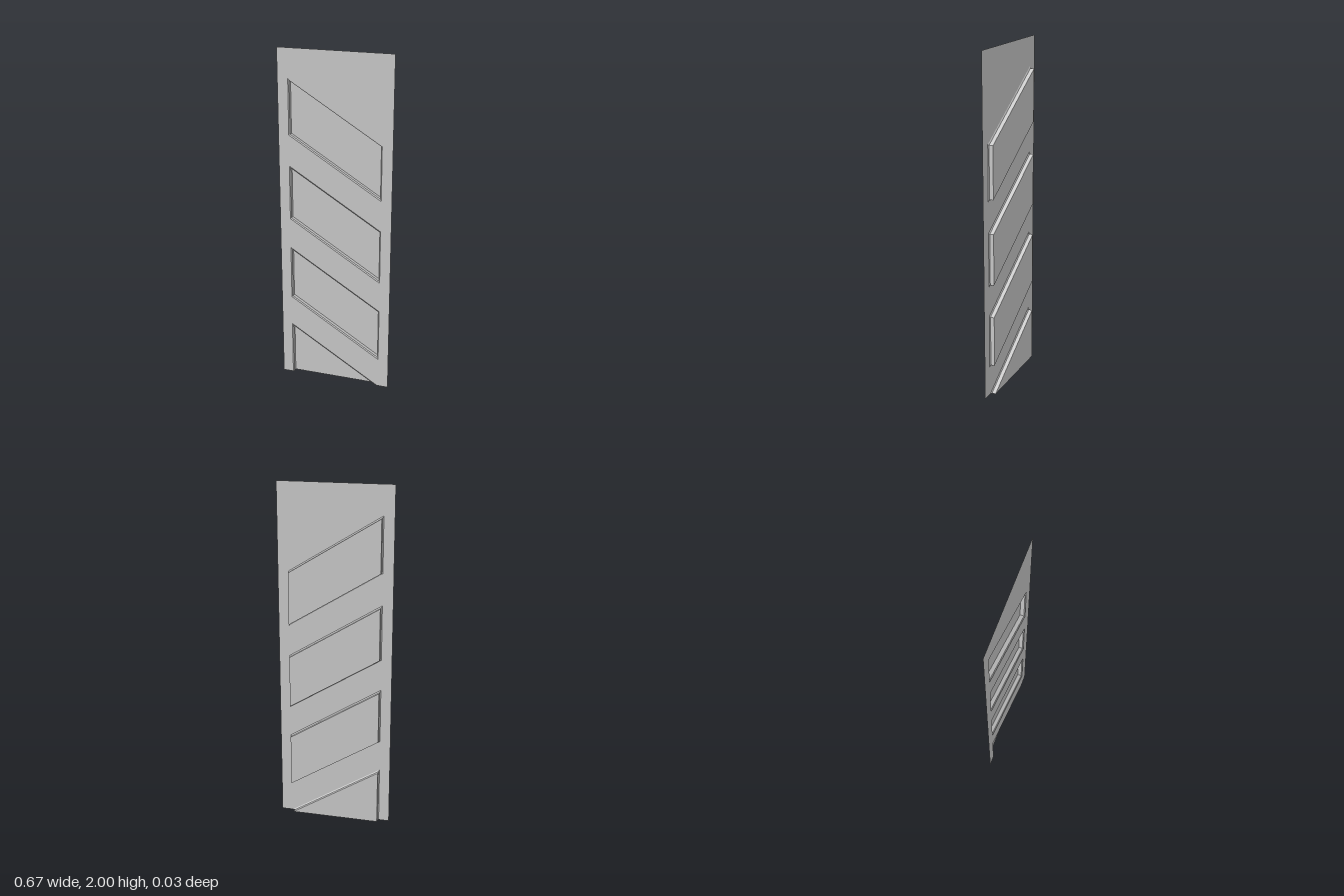
import * as THREE from 'three';

const HALF_W = 0.3325, HEIGHT = 2, SLOPE = 0.615, PITCH = 0.5;
const FRONT = 0.014, LIP = 0.009, BACK = -0.014;

const material = new THREE.MeshStandardMaterial({ color: 0xcccccc, side: THREE.DoubleSide, flatShading: true });

// Slanted recess outline, counter-clockwise; the lowest one (row 0) is cut off at y = 0
function outline(row, inset) {
  const x = 0.271 - inset * 0.85;
  const top = 0.164 + row * PITCH - inset * 1.15;
  const bottom = -0.155 + row * PITCH + inset * 1.15;
  if (row === 0) return [[top / SLOPE, 0], [-x, top + SLOPE * x], [-x, 0]];
  return [
    [-x, bottom + SLOPE * x], [x, bottom - SLOPE * x],
    [x, top - SLOPE * x], [-x, top + SLOPE * x],
  ];
}

const toVectors = (points) => points.map(([x, y]) => new THREE.Vector2(x, y));

function flat(name, shape, z) {
  const mesh = new THREE.Mesh(new THREE.ShapeGeometry(shape), material);
  mesh.position.z = z;
  mesh.name = name;
  return mesh;
}

// Strip of quads joining two outlines at different depths
function band(name, a, za, b, zb, closed) {
  const positions = [];
  const count = closed ? a.length : a.length - 1;
  for (let i = 0; i < count; i++) {
    const j = (i + 1) % a.length;
    const a0 = [...a[i], za], a1 = [...a[j], za];
    const b0 = [...b[i], zb], b1 = [...b[j], zb];
    positions.push(...a0, ...a1, ...b1, ...a0, ...b1, ...b0);
  }
  const geometry = new THREE.BufferGeometry();
  geometry.setAttribute('position', new THREE.Float32BufferAttribute(positions, 3));
  geometry.computeVertexNormals();
  const mesh = new THREE.Mesh(geometry, material);
  mesh.name = name;
  return mesh;
}

export function createModel() {
  const group = new THREE.Group();
  group.name = 'embossedPanel';

  // Front sheet, notched at the bottom by the cut-off recess
  const sheet = new THREE.Shape(toVectors([
    [HALF_W, 0], [HALF_W, HEIGHT], [-HALF_W, HEIGHT], [-HALF_W, 0],
    ...outline(0, 0).reverse(),
  ]));
  for (let row = 1; row <= 3; row++) sheet.holes.push(new THREE.Path(toVectors(outline(row, 0))));
  group.add(flat('sheet', sheet, FRONT));

  // Recesses: bevelled lip, straight walls and back face
  for (let row = 0; row <= 3; row++) {
    const recess = new THREE.Group();
    recess.name = `recess${row + 1}`;
    const outer = outline(row, 0), inner = outline(row, 0.007);
    recess.add(
      band('lip', outer, FRONT, inner, LIP, row > 0),
      band('walls', inner, LIP, inner, BACK, row > 0),
      flat('recessBack', new THREE.Shape(toVectors(inner)), BACK),
    );
    group.add(recess);
  }
  return group;
}
